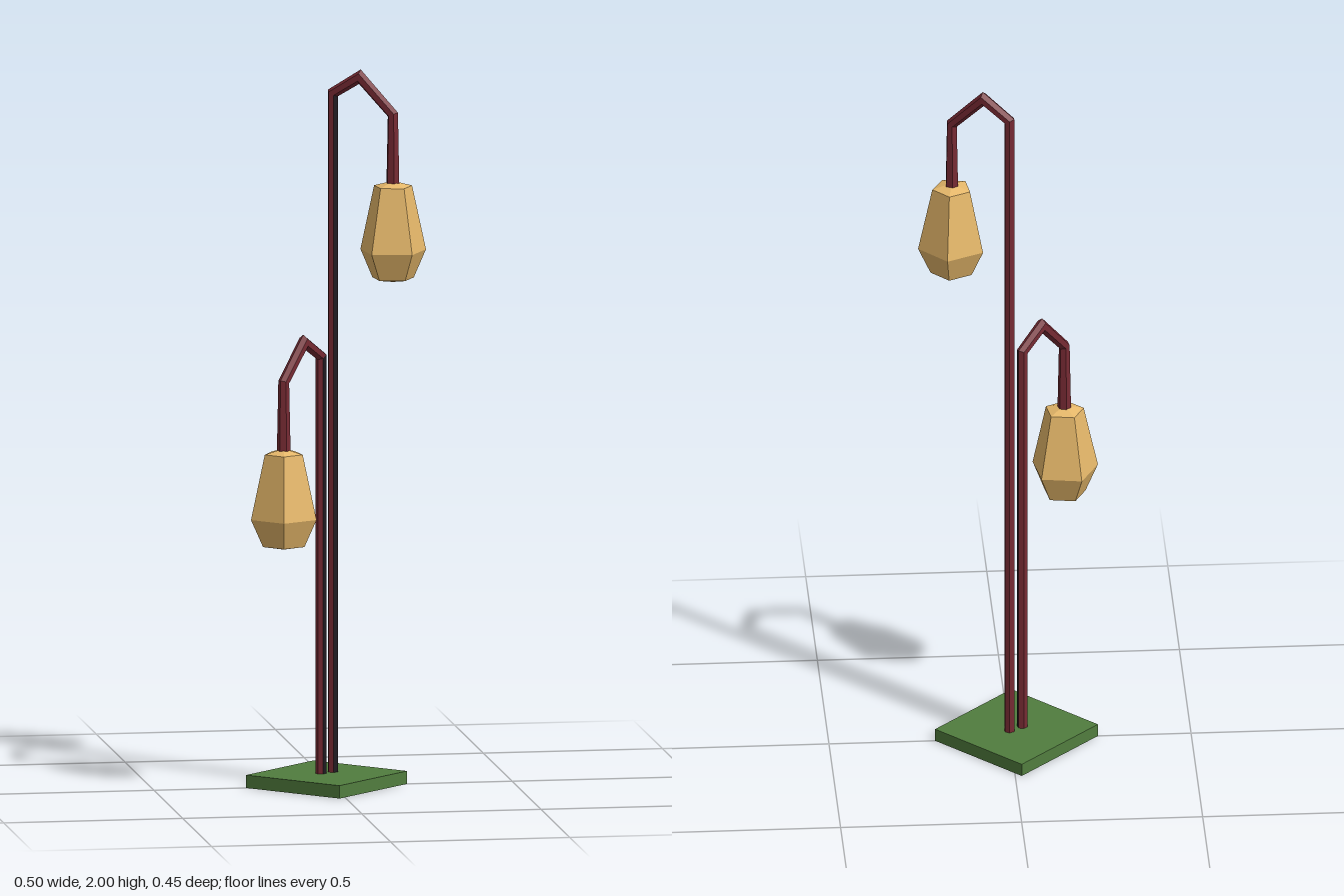
import * as THREE from 'three';

const mat = (name, color, side = THREE.FrontSide) => {
  const m = new THREE.MeshStandardMaterial({ color, side, flatShading: true });
  m.name = name;
  return m;
};

// Six-sided pole swept along a bent path in the vertical plane through direction d, with mitred joints.
// The listed strips of the upright form a second group for the dark finish.
function sweptPole(path, radii, d, darkStrips, sides = 6) {
  const side = new THREE.Vector3().crossVectors(d, new THREE.Vector3(0, 1, 0));
  const pos = [], main = [], dark = [];
  path.forEach((p, i) => {
    const before = p.clone().sub(path[Math.max(i - 1, 0)]).normalize();
    const after = path[Math.min(i + 1, path.length - 1)].clone().sub(p).normalize();
    const t = before.clone().add(after).normalize();
    const out = new THREE.Vector3().crossVectors(side, t).normalize();
    const stretch = 1 / t.dot(i ? before : after);
    for (let j = 0; j < sides; j++) {
      const a = (j / sides) * Math.PI * 2;
      const v = p.clone()
        .addScaledVector(out, Math.cos(a) * radii[i] * stretch)
        .addScaledVector(side, Math.sin(a) * radii[i]);
      pos.push(v.x, v.y, v.z);
      if (i < path.length - 1) {
        const k = i * sides + j, n = i * sides + ((j + 1) % sides);
        const strip = i === 0 && darkStrips.includes(j) ? dark : main;
        strip.push(k, n, n + sides, k, n + sides, k + sides);
      }
    }
  });
  // End caps
  const last = (path.length - 1) * sides;
  for (let j = 1; j < sides - 1; j++) {
    main.push(0, j + 1, j, last, last + j, last + j + 1);
  }
  const g = new THREE.BufferGeometry();
  g.setAttribute('position', new THREE.Float32BufferAttribute(pos, 3));
  g.setIndex([...main, ...dark]);
  g.addGroup(0, main.length, 0);
  g.addGroup(main.length, dark.length, 1);
  const flat = g.toNonIndexed();
  flat.computeVertexNormals();
  return flat;
}

// Five-sided lantern; y = 0 is its widest ring
function lanternGeometry() {
  const profile = [[0, -0.087], [0.06, -0.077], [0.095, 0], [0.055, 0.18], [0, 0.195]];
  return new THREE.LatheGeometry(profile.map(([r, y]) => new THREE.Vector2(r, y)), 5);
}

// Square slab, open underneath: four walls and a top
function addBase(model, material) {
  const size = 0.318, height = 0.036;
  const base = new THREE.Group();
  base.name = 'base';
  base.position.set(-0.018, 0, 0);
  base.rotation.y = Math.PI / 4;
  const top = new THREE.Mesh(new THREE.PlaneGeometry(size, size).rotateX(-Math.PI / 2), material);
  top.name = 'baseTop';
  top.position.y = height;
  base.add(top);
  for (let i = 0; i < 4; i++) {
    const wall = new THREE.Mesh(new THREE.PlaneGeometry(size, height).translate(0, height / 2, size / 2), material);
    wall.name = 'baseWall';
    wall.rotation.y = (i * Math.PI) / 2;
    base.add(wall);
  }
  model.add(base);
}

export function createModel() {
  const model = new THREE.Group();
  const maroon = mat('maroonMetal', 0x762a33);
  const black = mat('darkMetal', 0x1f1a20);
  const amber = mat('amberShade', 0xe6b86a);
  const green = mat('greenBase', 0x517d3e, THREE.DoubleSide);

  addBase(model, green);

  // Each lamp: foot of its pole, where it hangs, heights, the angle of one lantern corner, and the dark strips
  const lamps = [
    { name: 'tallLamp', foot: [0.003, -0.021], hang: [0.156, 0.069], top: 1.93, apex: 1.98, elbow: 1.88, apexAt: 0.45, shade: 1.5, corner: -79, dark: [2] },
    { name: 'shortLamp', foot: [-0.034, 0.002], hang: [-0.158, 0.127], top: 1.2, apex: 1.25, elbow: 1.15, apexAt: 0.46, shade: 0.77, corner: -117, dark: [4, 5] },
  ];

  for (const l of lamps) {
    const group = new THREE.Group();
    group.name = l.name;
    model.add(group);

    const [fx, fz] = l.foot, [hx, hz] = l.hang;
    const at = (s, y) => new THREE.Vector3(fx + (hx - fx) * s, y, fz + (hz - fz) * s);
    const d = new THREE.Vector3(hx - fx, 0, hz - fz).normalize();
    const path = [at(0, 0.02), at(0, l.top), at(l.apexAt, l.apex), at(1, l.elbow), at(1, l.shade + 0.185)];
    const pole = new THREE.Mesh(sweptPole(path, [0.015, 0.015, 0.016, 0.015, 0.019], d, l.dark), [maroon, black]);
    pole.name = 'pole';

    // The lathe starts with a corner on +z, so turn that to the wanted angle
    const lantern = new THREE.Mesh(lanternGeometry(), amber);
    lantern.name = 'lantern';
    lantern.position.set(hx, l.shade, hz);
    lantern.rotation.y = Math.PI / 2 - THREE.MathUtils.degToRad(l.corner);
    group.add(pole, lantern);
  }
  return model;
}
